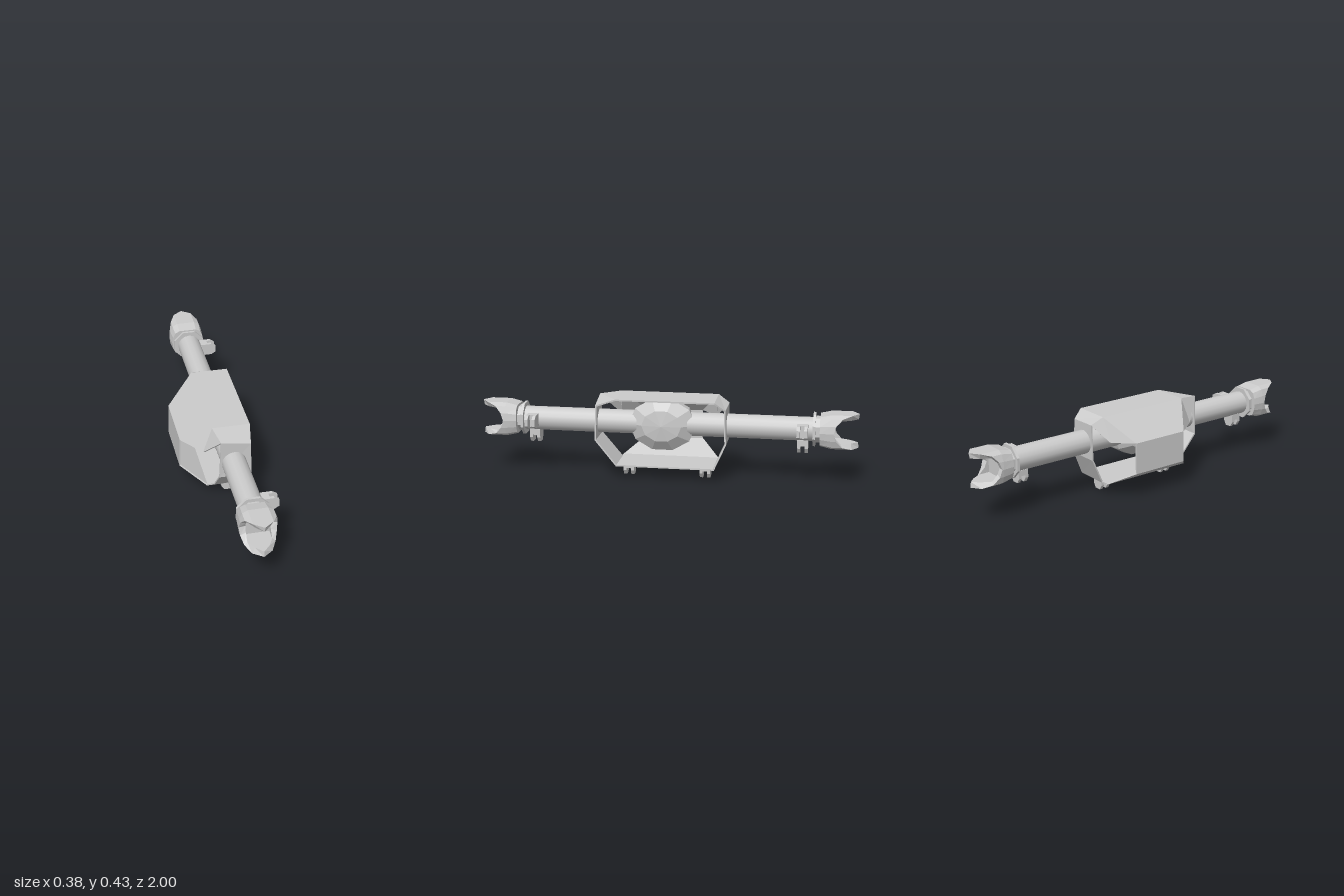
import * as THREE from 'three';

const CX = 0.05, CY = 0.285; // axle centre line
const flat = new THREE.MeshStandardMaterial({ color: 0xcccccc, flatShading: true, side: THREE.DoubleSide });
const smooth = new THREE.MeshStandardMaterial({ color: 0xcccccc });

function add(parent, name, geometry, material = flat) {
  const mesh = new THREE.Mesh(geometry, material);
  mesh.name = name;
  parent.add(mesh);
  return mesh;
}

function fromTriangles(points) {
  const g = new THREE.BufferGeometry().setFromPoints(points);
  g.computeVertexNormals();
  return g;
}

// Sheet-metal panel: outer corners, thickened towards the middle of the housing
function panel(corners, t = 0.008) {
  let p = corners.map(c => new THREE.Vector3(...c));
  const mid = p.reduce((s, v) => s.add(v), new THREE.Vector3()).divideScalar(p.length);
  const normal = p[1].clone().sub(p[0]).cross(p[2].clone().sub(p[0])).normalize();
  if (normal.dot(mid.sub(new THREE.Vector3(CX, 0.25, 0))) < 0) {
    p.reverse();
    normal.negate();
  }
  const q = p.map(v => v.clone().addScaledVector(normal, -t));
  const out = [], n = p.length;
  for (let i = 1; i < n - 1; i++) out.push(p[0], p[i], p[i + 1], q[0], q[i + 1], q[i]);
  for (let i = 0; i < n; i++) {
    const j = (i + 1) % n;
    out.push(p[i], q[i], q[j], p[i], q[j], p[j]);
  }
  return fromTriangles(out);
}

// Mirrors a quarter outline into a closed loop
function fullLoop(quarter) {
  const right = quarter.concat(quarter.slice(0, -1).reverse().map(([x, y]) => [x, -y]));
  return right.concat(right.slice(1, -1).reverse().map(([x, y]) => [-x, y]));
}

// Forked end cup: closed at the back, square bore, scooped at both sides
function cupGeometry() {
  const outer = fullLoop([[0, 0.09], [0.05, 0.09], [0.077, 0.075], [0.09, 0.04], [0.095, 0]]);
  const inner = fullLoop([[0, 0.061], [0.035, 0.061], [0.061, 0.061], [0.061, 0.03], [0.061, 0]]);
  const n = outer.length;
  const tip = i => 0.87 + 0.13 * (1 - (outer[i][0] / 0.095) ** 2);
  const rings = [
    outer.map(() => [0, 0, 0.8]),
    outer.map(([x, y]) => [x * 0.95, y * 0.85, 0.8]),
    outer.map(([x, y]) => [x, y, 0.86]),
    outer.map(([x, y], i) => [x, y, tip(i)]),
    inner.map(([x, y], i) => [x, y, tip(i) - 0.005]),
    inner.map(([x, y]) => [x, y, 0.855]),
    inner.map(() => [0, 0, 0.855]),
  ].map(r => r.map(a => new THREE.Vector3(...a)));
  const out = [];
  for (let k = 0; k < rings.length - 1; k++)
    for (let i = 0; i < n; i++) {
      const j = (i + 1) % n, a = rings[k], b = rings[k + 1];
      out.push(a[i], b[j], b[i], a[i], a[j], b[j]);
    }
  return fromTriangles(out);
}

// Two-lug bracket pointing down (-y) from its origin
function bracket(name, length) {
  const g = new THREE.Group();
  g.name = name;
  const w = 0.034, c = 0.018;
  const s = new THREE.Shape([
    [-w, 0], [-w, -length + 0.025], [-c, -length], [c, -length], [w, -length + 0.025], [w, 0],
  ].map(a => new THREE.Vector2(...a)));
  for (const z of [-0.028, 0.011])
    add(g, 'lug', new THREE.ExtrudeGeometry(s, { depth: 0.017, bevelEnabled: false }).translate(0, 0, z));
  add(g, 'lugBase', new THREE.BoxGeometry(2 * w, length * 0.45, 0.054).translate(0, -length * 0.225, 0));
  return g;
}

function octagon(r, depth, z) {
  return new THREE.CylinderGeometry(r, r, depth, 8).rotateY(Math.PI / 8).rotateX(Math.PI / 2).translate(CX, CY, z);
}

export function createModel() {
  const model = new THREE.Group();
  model.name = 'axle';

  // Axle tube
  const tube = new THREE.CylinderGeometry(0.063, 0.063, 1.64, 16).rotateX(Math.PI / 2).translate(CX, CY, 0);
  add(model, 'axleTube', tube, smooth);

  // Differential: low dome turned about the x axis, stretched a little forward
  const profile = [[0, -0.04], [0.09, -0.04], [0.135, 0.02], [0.143, 0.09], [0.085, 0.128], [0, 0.138]];
  const dome = new THREE.LatheGeometry(profile.map(a => new THREE.Vector2(...a)), 10);
  dome.rotateZ(-Math.PI / 2).scale(1, 1, 1.24).translate(0, CY, 0.022);
  add(model, 'differential', dome);

  // Housing shell
  const shell = new THREE.Group();
  shell.name = 'housing';
  model.add(shell);
  const roofL = z => [-0.04, 0.43, z], roofR = z => [0.157, 0.428, z];
  add(shell, 'roof', panel([roofL(0.26), roofR(0.26), roofR(-0.26), roofL(-0.26)]));
  add(shell, 'roofSlope', panel([roofL(0.26), roofL(-0.26), [-0.187, 0.305, -0.157], [-0.187, 0.305, 0.157]]));
  add(shell, 'backPlate', panel([
    [-0.187, 0.305, 0.157], [-0.19, 0.138, 0.157], [-0.19, 0.138, -0.157], [-0.187, 0.305, -0.157]]));
  add(shell, 'lowerSlope', panel([
    [-0.19, 0.138, 0.157], [-0.065, 0.064, 0.26], [-0.065, 0.064, -0.26], [-0.19, 0.138, -0.157]]));
  add(shell, 'floor', panel([
    [-0.065, 0.064, 0.26], [0.157, 0.066, 0.26], [0.157, 0.066, -0.26], [-0.065, 0.064, -0.26]]));

  // Front and back ends: [side, end z, top y on the two edges]
  for (const [s, e, yl, yr] of [[1, 0.375, 0.415, 0.387], [-1, 0.32, 0.392, 0.385]]) {
    const topL = [-0.018, yl, s * e], topR = [0.137, yr, s * (e - 0.005)];
    const lowL = [-0.025, 0.2, s * e], lowR = [0.143, 0.2, s * e];
    const hip = [-0.09, 0.302, s * (s > 0 ? 0.28 : 0.25)];
    const back = [-0.187, 0.305, s * 0.157];
    add(shell, 'roofEnd', panel([roofL(s * 0.26), roofR(s * 0.26), topR, topL]));
    add(shell, 'roofCorner', panel([roofL(s * 0.26), back, hip]));
    add(shell, 'roofCorner', panel([roofL(s * 0.26), hip, topL]));
    add(shell, 'endPlate', panel([topL, topR, lowR, lowL]));
    add(shell, 'endSlope', panel([lowL, lowR, [0.157, 0.066, s * 0.26], [-0.025, 0.064, s * 0.26]]));
  }

  // Matching fittings on both ends
  const cup = cupGeometry();
  for (const s of [1, -1]) {
    const end = add(model, 'endCup', cup);
    end.position.set(CX, CY, 0);
    if (s < 0) end.rotation.y = Math.PI;
    add(model, 'flange', octagon(0.09, 0.014, s * 0.77));
    add(model, 'flangeSpacer', octagon(0.07, 0.026, s * 0.788));

    const floorBracket = bracket('floorBracket', 0.068);
    floorBracket.position.set(0.052, 0.068, s * 0.204);
    const lowerBracket = bracket('lowerBracket', 0.07);
    lowerBracket.position.set(0.052, 0.23, s * 0.712);
    const sideBracket = bracket('sideBracket', 0.085);
    sideBracket.position.set(0.105, 0.29, s * 0.712);
    sideBracket.rotation.z = Math.PI / 2;
    model.add(floorBracket, lowerBracket, sideBracket);
  }
  return model;
}
